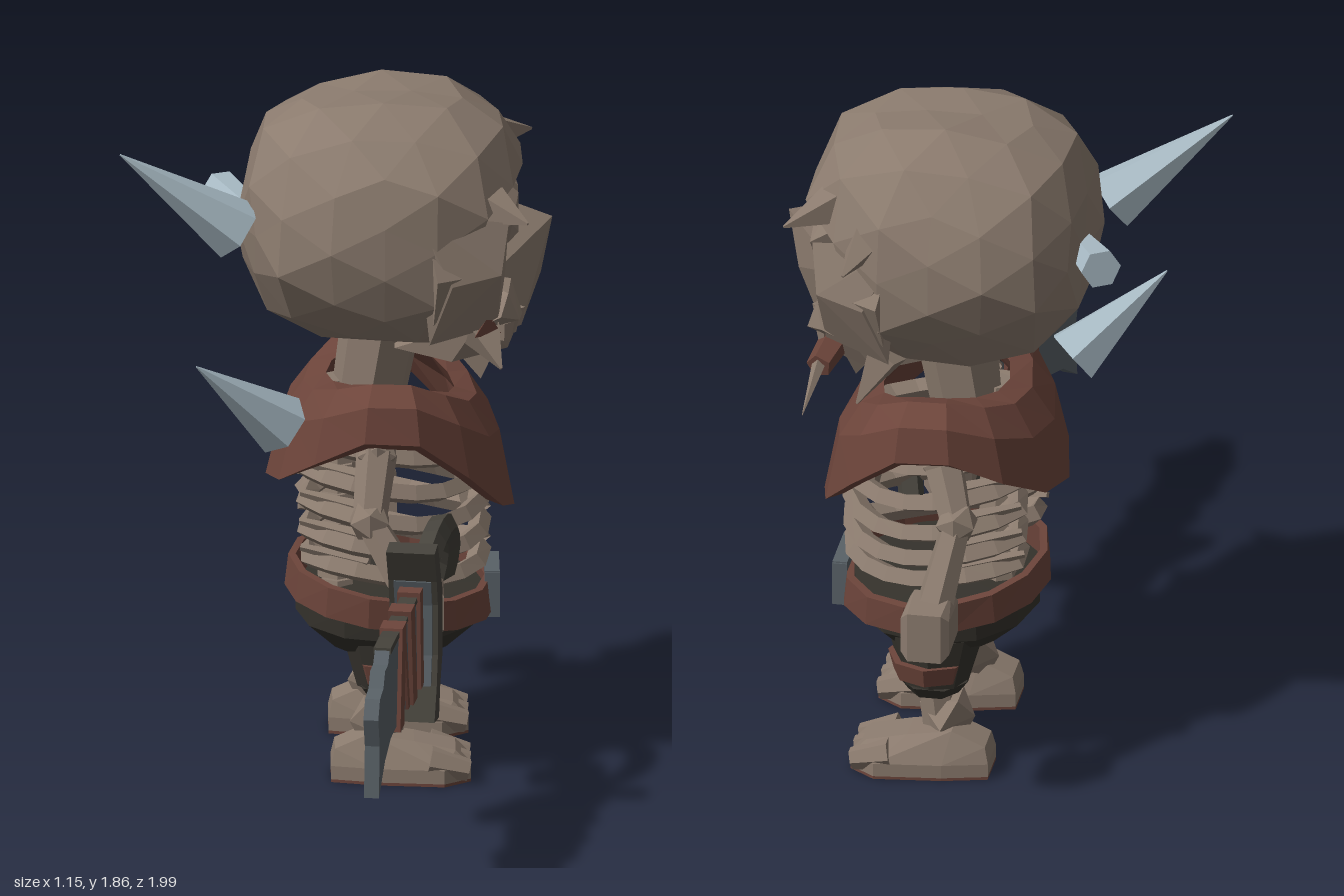
import * as THREE from 'three';
import { ConvexGeometry } from 'three/addons/geometries/ConvexGeometry.js';

const V = (x, y, z) => new THREE.Vector3(x, y, z);
const mat = (name, color) => {
  const m = new THREE.MeshStandardMaterial({ color, flatShading: true, side: THREE.DoubleSide });
  m.name = name;
  return m;
};

export function createModel() {
  const bone = mat('bone', 0x8b7b6e), leather = mat('red leather', 0x6d453b);
  const cloth = mat('dark cloth', 0x35322c), iron = mat('dark iron', 0x46433c);
  const steel = mat('blade steel', 0x596167), ice = mat('pale horn', 0xa9bbc5);
  const root = new THREE.Group();
  const CZ = -0.43; // body centre line in z

  const add = (name, geo, m, parent = root) => {
    const mesh = new THREE.Mesh(geo, m);
    mesh.name = name;
    parent.add(mesh);
    return mesh;
  };
  const hull = (name, pts, m, parent) => add(name, new ConvexGeometry(pts.map(p => V(...p))), m, parent);
  // tapered rod between two points
  const rod = (name, a, b, ra, rb, m, sides = 6, parent = root) => {
    const A = V(...a), B = V(...b), d = B.clone().sub(A);
    const mesh = add(name, new THREE.CylinderGeometry(rb, ra, d.length(), sides), m, parent);
    mesh.position.copy(A).addScaledVector(d, 0.5);
    mesh.quaternion.setFromUnitVectors(V(0, 1, 0), d.normalize());
    return mesh;
  };
  const tube = (name, pts, r, m, seg = 8, sides = 5, parent = root) =>
    add(name, new THREE.TubeGeometry(new THREE.CatmullRomCurve3(pts.map(p => V(...p))), seg, r, sides), m, parent);
  // outline in (z, y), extruded along x
  const plate = (name, pts, depth, m, parent) => {
    const shape = new THREE.Shape(pts.map(p => new THREE.Vector2(...p)));
    const g = new THREE.ExtrudeGeometry(shape, { depth, bevelEnabled: false });
    g.rotateY(-Math.PI / 2).translate(depth / 2, 0, 0);
    return add(name, g, m, parent);
  };
  const hash = (x, y, z) => {
    const s = Math.sin(Math.round(x * 50) * 12.99 + Math.round(y * 50) * 78.23 + Math.round(z * 50) * 37.72) * 43758.5;
    return s - Math.floor(s);
  };
  // ring surface lofted through rows of (rx, rz, y(angle)) sections
  const loft = (name, rows, n, m, cx, closed) => {
    const pos = [], idx = [];
    rows.forEach(([rx, rz, y]) => {
      for (let i = 0; i < n; i++) {
        const a = i / n * Math.PI * 2;
        pos.push(cx + rx * Math.cos(a), y(a), CZ + rz * Math.sin(a));
      }
    });
    const last = closed ? rows.length : rows.length - 1;
    for (let r = 0; r < last; r++) for (let i = 0; i < n; i++) {
      const j = (i + 1) % n, s = (r + 1) % rows.length;
      idx.push(r * n + i, s * n + i, r * n + j, r * n + j, s * n + i, s * n + j);
    }
    const g = new THREE.BufferGeometry();
    g.setAttribute('position', new THREE.Float32BufferAttribute(pos, 3));
    g.setIndex(idx);
    const flat = g.toNonIndexed();
    flat.computeVertexNormals();
    return add(name, flat, m);
  };

  // Skull: squarish faceted ball, cut back where the face sits
  const skull = new THREE.IcosahedronGeometry(1, 2), p = skull.attributes.position;
  for (let i = 0; i < p.count; i++) {
    const v = V(p.getX(i), p.getY(i), p.getZ(i)), h = hash(v.x, v.y, v.z);
    const k = (Math.abs(v.x) ** 2.7 + Math.abs(v.y) ** 2.7 + Math.abs(v.z) ** 2.7) ** (-1 / 2.7);
    v.multiplyScalar(k * (0.95 + 0.08 * h));
    const taper = 1 - Math.max(0, Math.abs(v.y) - 0.3) * (v.y < 0 ? 0.25 : 0.18);
    let x = 0.12 + v.x * 0.385;
    const y = 1.51 + v.y * 0.35, z = -0.435 + v.z * 0.395 * taper;
    if (y < 1.52) x = Math.min(x, 0.34);
    p.setXYZ(i, x, y, z);
  }
  skull.computeVertexNormals();
  add('skull', skull, bone);

  // Face, mirrored about the centre line
  for (const s of [-1, 1]) {
    const f = pts => pts.map(([x, y, z]) => [x, y, CZ + s * z]);
    hull('brow', f([[0.4, 1.64, 0.01], [0.48, 1.57, 0.03], [0.48, 1.47, 0.06], [0.45, 1.5, 0.24],
      [0.46, 1.56, 0.27], [0.34, 1.64, 0.28], [0.33, 1.49, 0.24]]), bone);
    hull('temple', f([[0.2, 1.62, 0.36], [0.45, 1.57, 0.29], [0.44, 1.42, 0.27], [0.42, 1.27, 0.25],
      [0.24, 1.24, 0.32], [0.3, 1.42, 0.38], [0.43, 1.44, 0.34]]), bone);
    hull('cheek', f([[0.35, 1.35, 0.03], [0.46, 1.34, 0.06], [0.45, 1.35, 0.22], [0.43, 1.3, 0.27],
      [0.48, 1.27, 0.2], [0.49, 1.24, 0.05], [0.32, 1.25, 0.27], [0.34, 1.22, 0.02]]), bone);
    hull('ear', f([[0.24, 1.53, 0.35], [0.36, 1.44, 0.35], [0.26, 1.44, 0.405], [0.25, 1.3, 0.34]]), bone);
    const eye = add('eye', new THREE.SphereGeometry(0.05, 8, 6), ice);
    eye.scale.set(0.7, 1.1, 0.85);
    eye.position.set(0.405, 1.42, CZ + s * 0.16);
    // upper teeth
    for (let i = 0; i < 3; i++) {
      const z = CZ + s * (0.03 + i * 0.06), x = 0.47 - i * 0.015;
      rod('tooth', [x, 1.25, z], [x, 1.2, z], 0.028, 0.018, bone, 4);
    }
  }
  hull('nose', [[0.4, 1.56, -0.43], [0.42, 1.36, -0.49], [0.42, 1.36, -0.37], [0.57, 1.5, -0.41], [0.54, 1.34, -0.43], [0.49, 1.2, -0.42]], bone);
  hull('jaw', [[0.48, 1.24, -0.32], [0.48, 1.24, -0.54], [0.45, 1.16, -0.33], [0.45, 1.16, -0.53],
    [0.37, 1.27, -0.2], [0.37, 1.27, -0.66], [0.3, 1.15, -0.24], [0.3, 1.15, -0.62], [0.15, 1.17, -0.3], [0.15, 1.17, -0.56]], bone);
  hull('chin', [[0.43, 1.18, -0.34], [0.43, 1.18, -0.5], [0.38, 1.05, -0.4], [0.38, 1.05, -0.46], [0.28, 1.16, -0.43]], bone);
  hull('gum', [[0.4, 1.31, -0.155], [0.43, 1.25, -0.18], [0.36, 1.25, -0.14], [0.38, 1.28, -0.22]], leather);
  rod('mouthStub', [0.42, 1.2, -0.58], [0.44, 1.18, -0.68], 0.042, 0.035, leather, 5);
  rod('mouthSplinter', [0.44, 1.19, -0.66], [0.45, 1.13, -0.87], 0.02, 0.001, bone, 4);

  // Jagged bone splinters around the skull
  for (const [a, b] of [
    [[0.3, 1.6, -0.74], [0.34, 1.56, -0.88]], [[0.4, 1.66, -0.66], [0.52, 1.63, -0.76]],
    [[0.38, 1.25, -0.2], [0.43, 1.17, -0.12]], [[0.4, 1.6, -0.2], [0.5, 1.58, -0.1]], [[0.25, 1.25, -0.7], [0.33, 1.1, -0.72]],
  ]) rod('splinter', a, b, 0.06, 0.004, bone, 4);

  // Horns
  rod('headHorn', [-0.27, 1.52, -0.245], [-0.58, 1.76, -0.16], 0.085, 0.002, ice, 6);
  rod('shoulderHorn', [-0.15, 1.0, -0.165], [-0.38, 1.21, -0.03], 0.085, 0.002, ice, 6);
  rod('brokenHorn', [-0.22, 1.49, -0.45], [-0.31, 1.51, -0.62], 0.04, 0.055, ice, 6);

  // Mantle: high on the shoulders, hanging to a point front and back
  const fall = (side, front, back) => a => {
    const c = Math.cos(a);
    return side + (c > 0 ? front - side : back - side) * Math.abs(c) ** 1.7;
  };
  loft('mantle', [
    [0.17, 0.2, fall(1.09, 1.02, 1.06)], [0.23, 0.3, fall(1.13, 1.0, 1.04)], [0.29, 0.37, fall(1.09, 0.9, 0.95)],
    [0.33, 0.385, fall(1.0, 0.69, 0.78)], [0.28, 0.34, fall(0.97, 0.71, 0.8)], [0.24, 0.28, fall(1.03, 0.9, 0.92)],
  ], 14, leather, 0.14, true);

  // Spine, neck and rib cage
  for (let i = 0; i < 8; i++)
    rod('vertebra', [0.0, 0.42 + i * 0.08, CZ], [0.0, 0.49 + i * 0.08, CZ], 0.06, 0.045, bone, 6);
  rod('neck', [0.08, 0.98, CZ], [0.12, 1.22, CZ], 0.1, 0.11, bone, 7);
  rod('sternum', [0.36, 0.68, CZ], [0.32, 0.92, CZ], 0.03, 0.045, bone, 5);
  for (const s of [-1, 1]) for (let i = 0; i < 5; i++) {
    const y = 0.58 + i * 0.085, w = [0.23, 0.28, 0.3, 0.29, 0.25][i];
    tube(s > 0 ? 'rightRib' : 'leftRib', [[-0.03, y + 0.03, CZ + s * 0.04], [-0.09, y + 0.02, CZ + s * w * 0.6], [0.05, y, CZ + s * w],
      [0.24, y - 0.03, CZ + s * w * 0.9], [0.36, y - 0.02, CZ + s * w * 0.5], [0.38, y + 0.01, CZ + s * 0.04]], 0.029, bone, 10, 4);
    rod('ribSplinter', [0.08, y + 0.02, CZ + s * w * 0.97], [-0.1, y + 0.05, CZ + s * w * 0.75], 0.022, 0.01, bone, 4);
  }

  // Trousers, belt and buckle
  const flat = y => () => y;
  loft('trousers', [[0.02, 0.02, flat(0.31)], [0.17, 0.22, flat(0.33)], [0.25, 0.29, flat(0.4)], [0.25, 0.3, flat(0.47)], [0.02, 0.02, flat(0.48)]], 12, cloth, 0.14);
  const sag = y => a => y - 0.03 * Math.cos(a);
  loft('belt', [[0.255, 0.305, sag(0.435)], [0.28, 0.32, sag(0.44)], [0.27, 0.33, sag(0.525)], [0.25, 0.3, sag(0.525)]], 14, leather, 0.14, true);
  for (const s of [-1, 1]) {
    const bar = add('buckleBar', new THREE.BoxGeometry(0.04, 0.028, 0.17), steel);
    bar.position.set(0.41, 0.46 + s * 0.05, -0.45);
    const post = add('bucklePost', new THREE.BoxGeometry(0.04, 0.12, 0.028), steel);
    post.position.set(0.41, 0.46, -0.45 + s * 0.075);
  }

  // Legs and feet
  for (const [z, s] of [[-0.265, 1], [-0.615, -1]]) {
    const zf = z + s * 0.03;
    rod('trouserLeg', [0.14, 0.24, z], [0.14, 0.38, z - s * 0.02], 0.09, 0.13, cloth, 8);
    rod('cuff', [0.15, 0.265, z], [0.15, 0.32, z], 0.1, 0.115, leather, 8);
    rod('lowerCuff', [0.14, 0.215, z], [0.14, 0.25, z], 0.07, 0.095, cloth, 7);
    rod('shin', [0.12, 0.08, z], [0.14, 0.25, z], 0.05, 0.045, bone, 6);
    hull('ankle', [[0.03, 0.14, z], [0.07, 0.2, z - 0.04], [0.07, 0.2, z + 0.05], [0.18, 0.17, z], [0.17, 0.1, z],
      [0.11, 0.13, z - 0.085], [0.11, 0.13, z + 0.085], [0.06, 0.08, z]], bone);
    const outline = [[-0.02, -0.06], [-0.02, 0.06], [0.1, -0.09], [0.1, 0.09], [0.28, -0.11], [0.28, 0.11], [0.35, -0.06], [0.35, 0.06]]
      .map(([x, dz]) => [x, zf + dz]);
    const top = [[-0.01, 0.09], [0.08, 0.13], [0.2, 0.11], [0.31, 0.085]];
    hull('foot', [...outline.flatMap(([x, w]) => [[x, 0.008, w], [x, 0.045, w]]),
      ...top.flatMap(([x, y]) => [[x, y, zf - 0.05], [x, y, zf + 0.05]])], bone);
    hull('sole', outline.flatMap(([x, w]) => [[x, 0, w], [x, 0.008, w]]), leather);
    for (const t of [-0.07, 0, 0.07])
      rod('toe', [0.24, 0.06, zf + t], [0.345, 0.035, zf + t], 0.045, 0.03, bone, 6);
  }

  // Arms
  const arm = (side, [a, b, c]) => {
    const g = new THREE.Group();
    g.name = side + 'Arm';
    root.add(g);
    rod('upperArm', a, b, 0.055, 0.045, bone, 6, g);
    rod('forearm', b, c, 0.04, 0.055, bone, 6, g);
    for (const q of [a, b]) add('joint', new THREE.IcosahedronGeometry(0.06, 0), bone, g).position.set(...q);
    const [x, y, z] = c;
    hull('fist', [-1, 1].flatMap(i => [-1, 1].flatMap(j => [
      [x + i * 0.065, y + j * 0.045, z + 0.065], [x + i * 0.05, y + j * 0.075, z + 0.05],
      [x + i * 0.065, y + j * 0.05, z - 0.07], [x + i * 0.045, y + j * 0.07, z - 0.085]])), bone, g);
  };
  arm('left', [[0.1, 0.93, -0.7], [0.05, 0.8, -0.78], [0.1, 0.555, -0.905]]);
  arm('right', [[0.1, 0.93, -0.14], [0.08, 0.77, -0.05], [0.21, 0.56, 0.035]]);

  // Sword held out along +z
  const sword = new THREE.Group();
  sword.name = 'sword';
  sword.position.x = 0.235;
  sword.rotation.y = -0.168;
  root.add(sword);
  plate('blade', [[0.24, 0.68], [0.55, 0.68], [0.72, 0.69], [0.81, 0.69], [0.84, 0.66], [0.89, 0.66], [0.92, 0.62],
    [0.98, 0.61], [1.01, 0.56], [0.985, 0.48], [1.0, 0.34], [0.89, 0.41], [0.79, 0.44], [0.24, 0.44]], 0.04, steel, sword);
  plate('bladeSpine', [[0.24, 0.687], [0.55, 0.687], [0.72, 0.697], [0.81, 0.697], [0.81, 0.68], [0.24, 0.67]], 0.046, iron, sword);
  plate('crossguard', [[0.32, 0.8], [0.26, 0.81], [0.22, 0.73], [0.18, 0.66], [0.18, 0.48], [0.22, 0.4], [0.24, 0.32],
    [0.32, 0.33], [0.28, 0.42], [0.26, 0.5], [0.26, 0.64], [0.28, 0.71]], 0.13, iron, sword);
  plate('guardFacing', [[0.288, 0.71], [0.268, 0.64], [0.268, 0.5], [0.288, 0.42], [0.28, 0.42], [0.26, 0.5], [0.26, 0.64], [0.28, 0.71]],
    0.1, steel, sword);
  rod('grip', [0, 0.57, 0.2], [0, 0.57, -0.06], 0.035, 0.035, iron, 6, sword);
  tube('handGuard', [[0, 0.64, 0.2], [0.02, 0.74, 0.13], [0.03, 0.77, 0.02], [0.03, 0.74, -0.1], [0.02, 0.65, -0.19], [0, 0.57, -0.23]], 0.036, iron, 10, 5, sword);
  // leather wraps around the blade: z at the top edge, z at the bottom edge, half width
  for (const [top, bottom, w] of [[0.62, 0.66, 0.034], [0.475, 0.43, 0.034], [0.325, 0.305, 0.024]])
    plate('wrap', [[top - w, 0.7], [top + w, 0.7], [bottom + w, 0.425], [bottom - w, 0.425]], 0.062, leather, sword);
  plate('wrapStrap', [[0.61, 0.69], [0.58, 0.69], [0.5, 0.435], [0.53, 0.435]], 0.055, leather, sword);

  return root;
}
